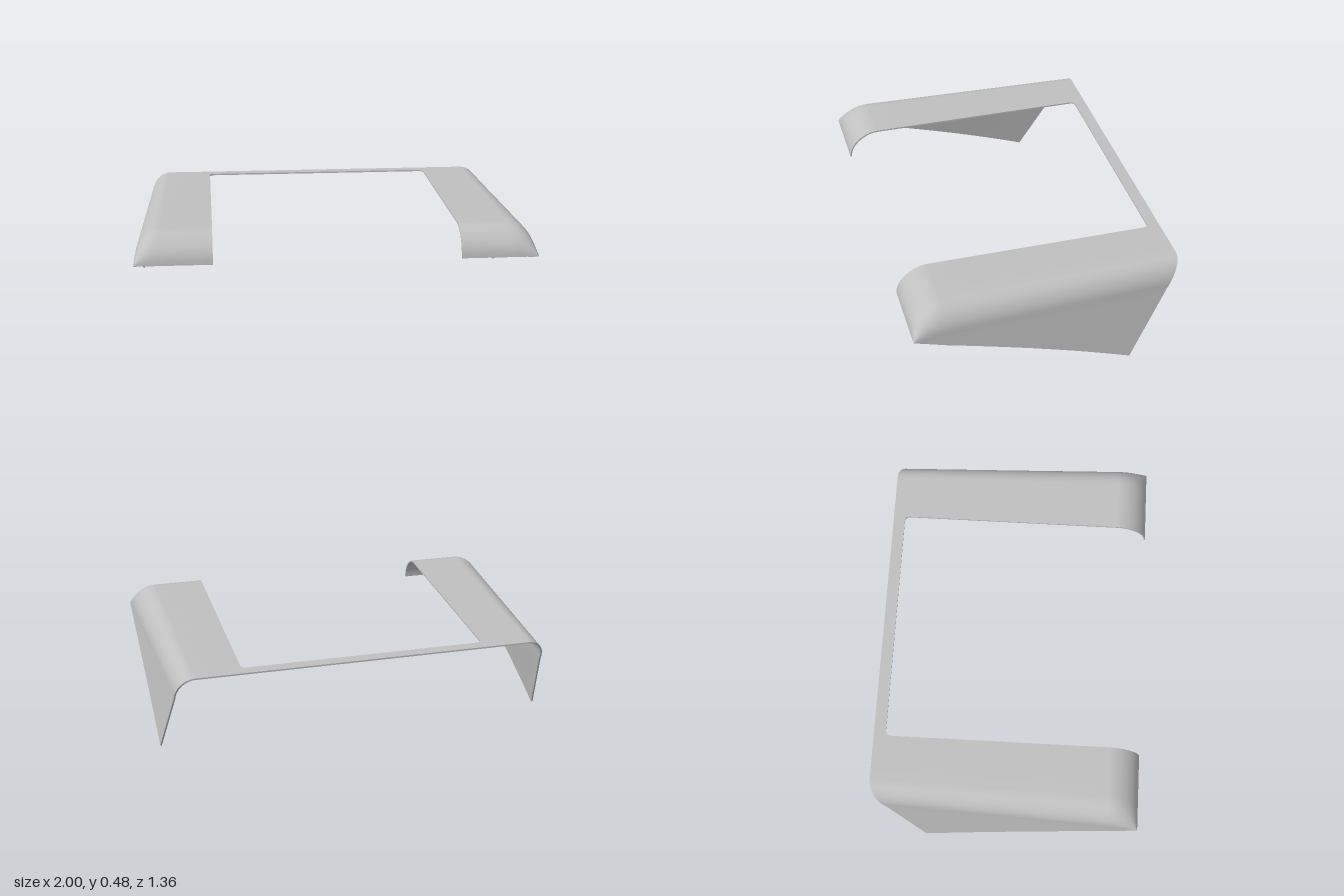
import * as THREE from 'three';

const THICK = 0.008, TOP = 0.483, FRONT = 0.68, INNER_X = 0.613;
const lerp = THREE.MathUtils.lerp;

// Distance behind the front lip (shared rounded nose, then straight run); k is 0..NOSE..COLS
const NOSE = 10, COLS = 22, NOSE_LEN = 0.16;
function depthAt(k, total) {
  if (k <= NOSE) return NOSE_LEN * (1 - Math.cos((k / NOSE) * Math.PI / 2));
  return lerp(NOSE_LEN, total, (k - NOSE) / (COLS - NOSE));
}

// Rows: side panel, rounded shoulder, flat top
const SIDE = 6, BEND = 10, FLAT = 4, ROWS = SIDE + BEND + FLAT;
function skinPoint(k, j) {
  const bottomY = 0.337 * (1 - depthAt(k, 1.09) / 1.09);
  const run = depthAt(k, 1.3) / 1.3;
  const shoulderX = 1 - 0.055 * run, shoulderY = 0.35, bendX = lerp(0.13, 0.1, run);
  let x, y;
  if (j <= SIDE) {
    x = lerp(1, shoulderX, j / SIDE);
    y = lerp(bottomY, shoulderY, j / SIDE);
  } else if (j <= SIDE + BEND) {
    const a = ((j - SIDE) / BEND) * Math.PI / 2;
    x = shoulderX - bendX * (1 - Math.cos(a));
    y = shoulderY + (TOP - shoulderY) * Math.sin(a);
  } else {
    x = lerp(shoulderX - bendX, INNER_X, (j - SIDE - BEND) / FLAT);
    y = TOP;
  }
  // slanted rear edge and rounded nose
  const d = depthAt(k, FRONT + 0.41 + 0.27 * (y / TOP));
  const rise = d < NOSE_LEN ? Math.sqrt(Math.max(0, 1 - (1 - d / NOSE_LEN) ** 2)) : 1;
  return new THREE.Vector3(x, bottomY + (y - bottomY) * rise, FRONT - d);
}

function makeGeometry(points, index, side) {
  const tris = [];
  for (let i = 0; i < index.length; i += 3) {
    const [a, b, c] = index.slice(i, i + 3);
    tris.push(...(side > 0 ? [a, b, c] : [a, c, b]));
  }
  const geo = new THREE.BufferGeometry().setFromPoints(
    points.map((p) => new THREE.Vector3(p.x * side, p.y, p.z)));
  geo.setIndex(tris);
  geo.computeVertexNormals();
  return geo;
}

// One arm: outer skin, inner skin and the rim joining them
function buildArm(side, material) {
  const outer = [], index = [];
  const id = (k, j) => k * (ROWS + 1) + j;
  for (let k = 0; k <= COLS; k++)
    for (let j = 0; j <= ROWS; j++) outer.push(skinPoint(k, j));
  for (let k = 0; k < COLS; k++)
    for (let j = 0; j < ROWS; j++) {
      const a = id(k, j), b = id(k + 1, j), c = id(k + 1, j + 1), d = id(k, j + 1);
      index.push(a, b, c, a, c, d);
    }
  const normals = makeGeometry(outer, index, 1).attributes.normal;
  const inner = outer.map((p, i) =>
    p.clone().addScaledVector(new THREE.Vector3().fromBufferAttribute(normals, i), -THICK));
  const flipped = [...index].reverse();

  const loop = [];
  for (let k = 0; k < COLS; k++) loop.push(id(k, 0));
  for (let j = 0; j < ROWS; j++) loop.push(id(COLS, j));
  for (let k = COLS; k > 0; k--) loop.push(id(k, ROWS));
  for (let j = ROWS; j > 0; j--) loop.push(id(0, j));
  const rim = [], rimIndex = [];
  loop.forEach((a, i) => {
    const b = loop[(i + 1) % loop.length], n = rim.length;
    rim.push(outer[a], outer[b], inner[b], inner[a]);
    rimIndex.push(n, n + 2, n + 1, n, n + 3, n + 2);
  });

  const arm = new THREE.Group();
  arm.name = side > 0 ? 'leftArm' : 'rightArm';
  const parts = { outerSkin: [outer, index], innerSkin: [inner, flipped], rim: [rim, rimIndex] };
  for (const [name, [points, tris]] of Object.entries(parts)) {
    const mesh = new THREE.Mesh(makeGeometry(points, tris, side), material);
    mesh.name = name;
    arm.add(mesh);
  }
  return arm;
}

// Narrow rear strip with filleted inner corners
function buildBridge(material) {
  const x = INNER_X, r = 0.03, s = new THREE.Shape();
  s.moveTo(-x, 0.62 - r);
  s.lineTo(-x, 0.68);
  s.lineTo(x, 0.68);
  s.lineTo(x, 0.62 - r);
  s.quadraticCurveTo(x, 0.62, x - r, 0.62);
  s.lineTo(-x + r, 0.62);
  s.quadraticCurveTo(-x, 0.62, -x, 0.62 - r);
  const geo = new THREE.ExtrudeGeometry(s, { depth: THICK, bevelEnabled: false, curveSegments: 8 });
  geo.rotateX(-Math.PI / 2);
  geo.translate(0, TOP - THICK, 0);
  const mesh = new THREE.Mesh(geo, material);
  mesh.name = 'rearBridge';
  return mesh;
}

export function createModel() {
  const grey = new THREE.MeshStandardMaterial({ color: 0xc0c0c0 });
  grey.name = 'light grey';
  const model = new THREE.Group();
  model.name = 'shellFrame';
  model.add(buildArm(1, grey), buildArm(-1, grey), buildBridge(grey));
  return model;
}
